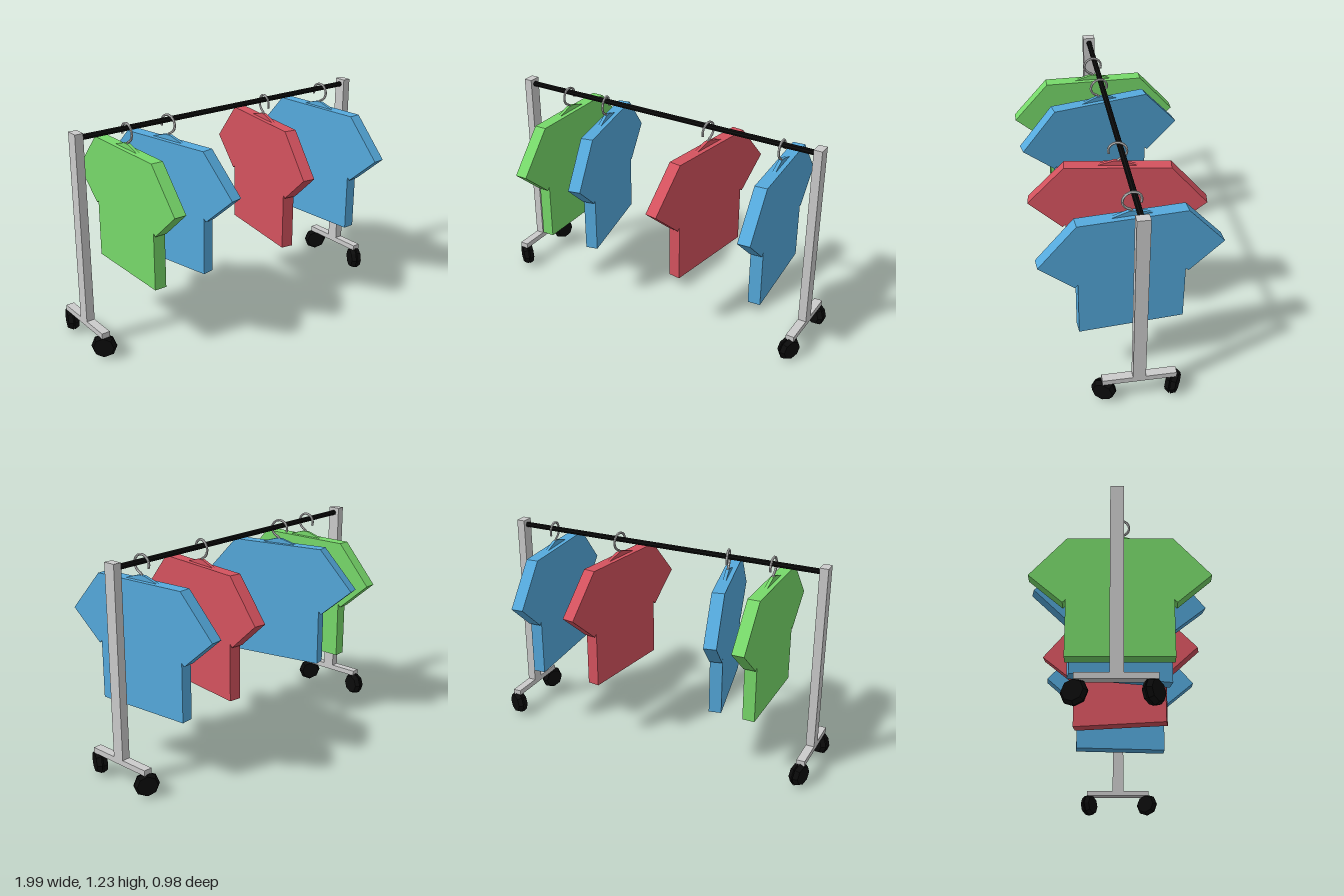
import * as THREE from 'three';

const mat = (color) => new THREE.MeshStandardMaterial({ color, flatShading: true });
const grey = mat(0xcccccc);
const black = mat(0x0b0b0b);
const blue = mat(0x55aadd);
const green = mat(0x77d96a);
const red = mat(0xd4525e);

function add(parent, name, geometry, material, x = 0, y = 0, z = 0) {
  const mesh = new THREE.Mesh(geometry, material);
  mesh.name = name;
  mesh.position.set(x, y, z);
  parent.add(mesh);
  return mesh;
}

// Slab with its outline in the z-y plane, centred on x = 0
function slab(points, thickness) {
  const shape = new THREE.Shape(points.map(([z, y]) => new THREE.Vector2(-z, y)));
  return new THREE.ExtrudeGeometry(shape, { depth: thickness, bevelEnabled: false })
    .translate(0, 0, -thickness / 2)
    .rotateY(Math.PI / 2);
}

// Half outline of a shirt, mirrored for the other half
const half = [[0.287, 0.377], [0.287, 0.71], [0.303, 0.694], [0.49, 0.86], [0.287, 1.09]];
const outline = [...half, ...half.map(([z, y]) => [-z, y]).reverse()];

// Hook: short stem, then an open loop over the rail
function hookGeometry() {
  const pts = [new THREE.Vector3(0, 1.1, 0), new THREE.Vector3(0, 1.122, 0.004)];
  for (let i = 0; i <= 9; i++) {
    const a = -1.0 + (i / 9) * 4.5;
    pts.push(new THREE.Vector3(0, 1.178 + 0.05 * Math.sin(a), 0.05 * Math.cos(a)));
  }
  return new THREE.TubeGeometry(new THREE.CatmullRomCurve3(pts), 28, 0.007, 6);
}

function shirtOnHanger(material, x, yaw) {
  const g = new THREE.Group();
  g.name = 'shirtOnHanger';
  add(g, 'shirt', slab(outline, 0.07), material);
  add(g, 'hangerPeak', slab([[0.125, 1.085], [0.02, 1.118], [-0.02, 1.118], [-0.125, 1.085]], 0.018), material);
  add(g, 'hook', hookGeometry(), grey);
  g.position.x = x;
  g.rotation.y = yaw;
  return g;
}

// Caster of two chunky discs on a hub, swivelled about y
function caster(x, z, yaw) {
  const g = new THREE.Group();
  g.name = 'caster';
  const disc = new THREE.CylinderGeometry(0.056, 0.07, 0.026, 8).rotateZ(-Math.PI / 2);
  const hub = new THREE.CylinderGeometry(0.05, 0.05, 0.02, 8).rotateZ(Math.PI / 2);
  add(g, 'wheelDisc', disc, black, 0.017);
  add(g, 'wheelDisc', disc, black, -0.017).rotation.y = Math.PI;
  add(g, 'wheelHub', hub, black);
  g.position.set(x, 0.071, z);
  g.rotation.y = yaw;
  return g;
}

export function createModel() {
  const model = new THREE.Group();
  model.name = 'clothesRack';

  // End frames
  for (const x of [-0.935, 0.93]) {
    add(model, 'post', new THREE.BoxGeometry(0.048, 1.07, 0.07), grey, x, 0.693, -0.015);
    add(model, 'foot', new THREE.BoxGeometry(0.048, 0.032, 0.405), grey, x, 0.145, -0.017);
  }

  // Hanging rail
  add(model, 'rail', new THREE.CylinderGeometry(0.016, 0.016, 1.83, 8).rotateZ(Math.PI / 2), black, 0, 1.197, -0.015);

  // Casters, each turned its own way
  model.add(
    caster(-0.935, 0.16, 0.9),
    caster(-0.93, -0.215, -0.3),
    caster(0.925, 0.175, -0.45),
    caster(0.93, -0.205, 1.05),
  );

  // Shirts along the rail
  model.add(
    shirtOnHanger(green, -0.645, 0),
    shirtOnHanger(blue, -0.385, 0.21),
    shirtOnHanger(red, 0.287, -0.145 + Math.PI),
    shirtOnHanger(blue, 0.725, 0.075),
  );
  return model;
}
